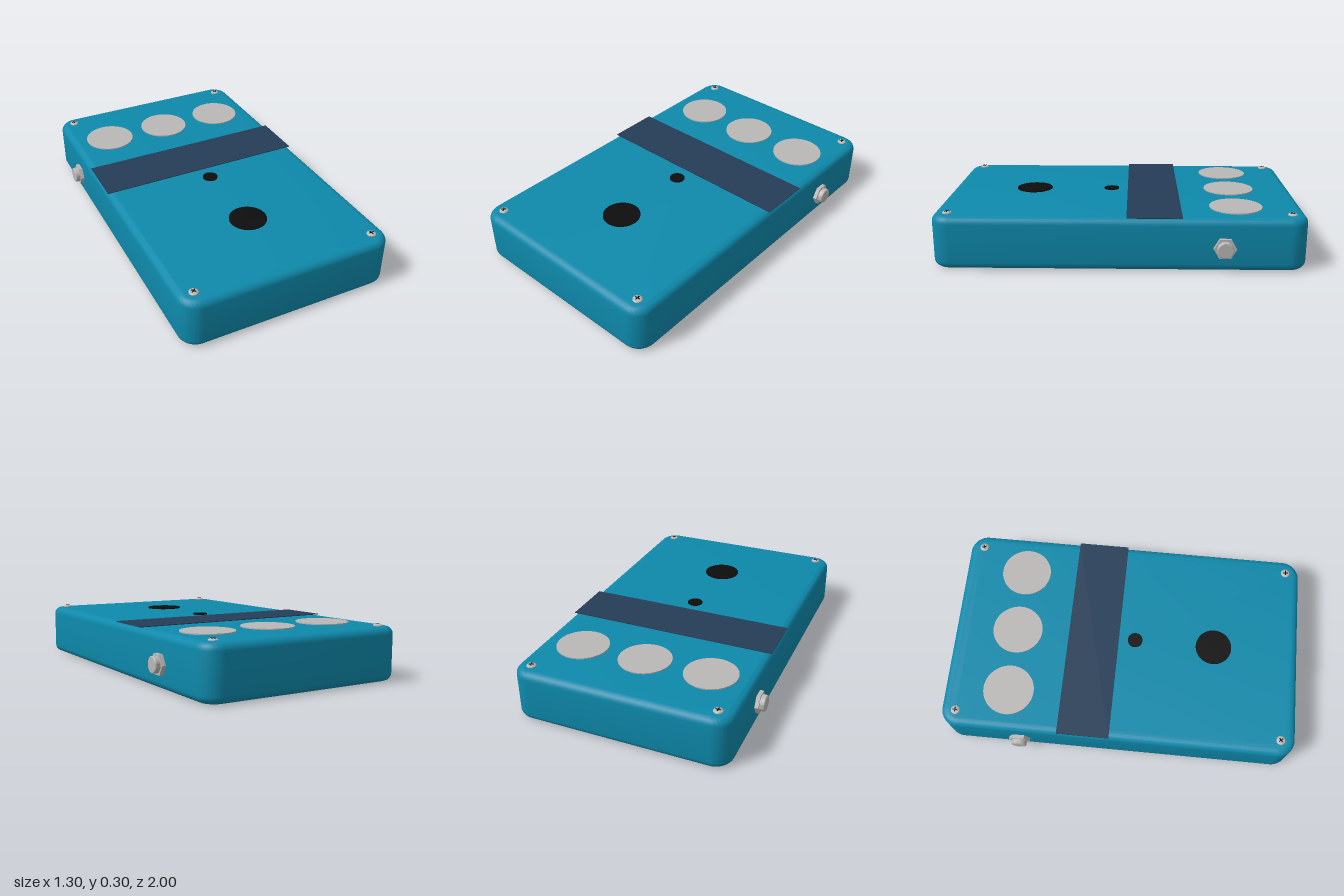
import * as THREE from 'three';
import { toCreasedNormals } from 'three/addons/utils/BufferGeometryUtils.js';

const material = (name, color) => {
  const m = new THREE.MeshStandardMaterial({ color });
  m.name = name;
  return m;
};

// Rounded rectangle centred on the origin
function roundedRect(hw, hh, r) {
  const s = new THREE.Shape();
  s.absarc(hw - r, hh - r, r, 0, Math.PI / 2);
  s.absarc(-hw + r, hh - r, r, Math.PI / 2, Math.PI);
  s.absarc(-hw + r, -hh + r, r, Math.PI, Math.PI * 1.5);
  s.absarc(hw - r, -hh + r, r, Math.PI * 1.5, Math.PI * 2);
  return s;
}

export function createModel() {
  const model = new THREE.Group();
  model.name = 'effectPedal';
  const teal = material('teal enclosure', 0x0e89ab);
  const navy = material('navy band', 0x253d57);
  const metal = material('light metal', 0xbab8b6);
  const black = material('black', 0x0d0d0d);
  const TOP = 0.29;

  const add = (parent, name, geometry, mat, x = 0, y = 0, z = 0) => {
    const mesh = new THREE.Mesh(geometry, mat);
    mesh.name = name;
    mesh.position.set(x, y, z);
    parent.add(mesh);
    return mesh;
  };

  // Enclosure with rounded corners and softened top and bottom edges
  const bevel = 0.04;
  const body = new THREE.ExtrudeGeometry(roundedRect(0.6 - bevel, 1 - bevel, 0.06), {
    depth: TOP - 2 * bevel, bevelThickness: bevel, bevelSize: bevel, bevelSegments: 6, curveSegments: 10,
  });
  body.rotateX(-Math.PI / 2).translate(0, bevel, 0);
  add(model, 'enclosure', toCreasedNormals(body, 0.6), teal);

  // Band across the top
  add(model, 'band', new THREE.BoxGeometry(1.194, 0.004, 0.294), navy, 0, TOP + 0.003, -0.187);

  // Flat round plates on the top
  const disc = (name, r, mat, x, z) =>
    add(model, name, new THREE.CylinderGeometry(r, r, 0.006, 48), mat, x, TOP + 0.003, z);
  for (const x of [-0.37, 0, 0.37]) disc('knobPlate', 0.144, metal, x, -0.634);
  disc('indicatorLight', 0.043, black, 0, 0.055);
  disc('footSwitch', 0.103, black, 0, 0.512);

  // Corner screws: domed head with a crossed slot
  const headProfile = [[0, -0.004], [0.025, -0.004], [0.025, 0.004], [0.021, 0.008], [0.014, 0.01], [0, 0.011]]
    .map(([r, y]) => new THREE.Vector2(r, y));
  [[-1, -1, 0], [1, -1, 0.4], [-1, 1, 0.7], [1, 1, 0.1]].forEach(([sx, sz, turn]) => {
    const screw = new THREE.Group();
    screw.name = 'screw';
    screw.position.set(sx * 0.515, TOP, sz * 0.916);
    screw.rotation.y = turn;
    add(screw, 'screwHead', toCreasedNormals(new THREE.LatheGeometry(headProfile, 20), 0.6), metal);
    add(screw, 'slotLong', new THREE.BoxGeometry(0.028, 0.004, 0.006), black, 0, 0.0095, 0);
    add(screw, 'slotCross', new THREE.BoxGeometry(0.006, 0.004, 0.028), black, 0, 0.0095, 0);
    model.add(screw);
  });

  // Side jacks: hexagonal nut and a round barrel with a chamfered rim
  const barrelProfile = [[0, -0.01], [0.044, -0.01], [0.044, 0.044], [0.04, 0.048], [0, 0.048]]
    .map(([r, y]) => new THREE.Vector2(r, y));
  for (const side of [-1, 1]) {
    const jack = new THREE.Group();
    jack.name = side > 0 ? 'leftJack' : 'rightJack';
    jack.position.set(side * 0.6, 0.133, -0.557);
    jack.rotation.z = -side * Math.PI / 2;
    const nut = toCreasedNormals(new THREE.CylinderGeometry(0.061, 0.061, 0.026, 6), 0.5);
    add(jack, 'nut', nut, metal, 0, 0.008, 0);
    add(jack, 'barrel', toCreasedNormals(new THREE.LatheGeometry(barrelProfile, 32), 0.5), metal);
    model.add(jack);
  }

  return model;
}
